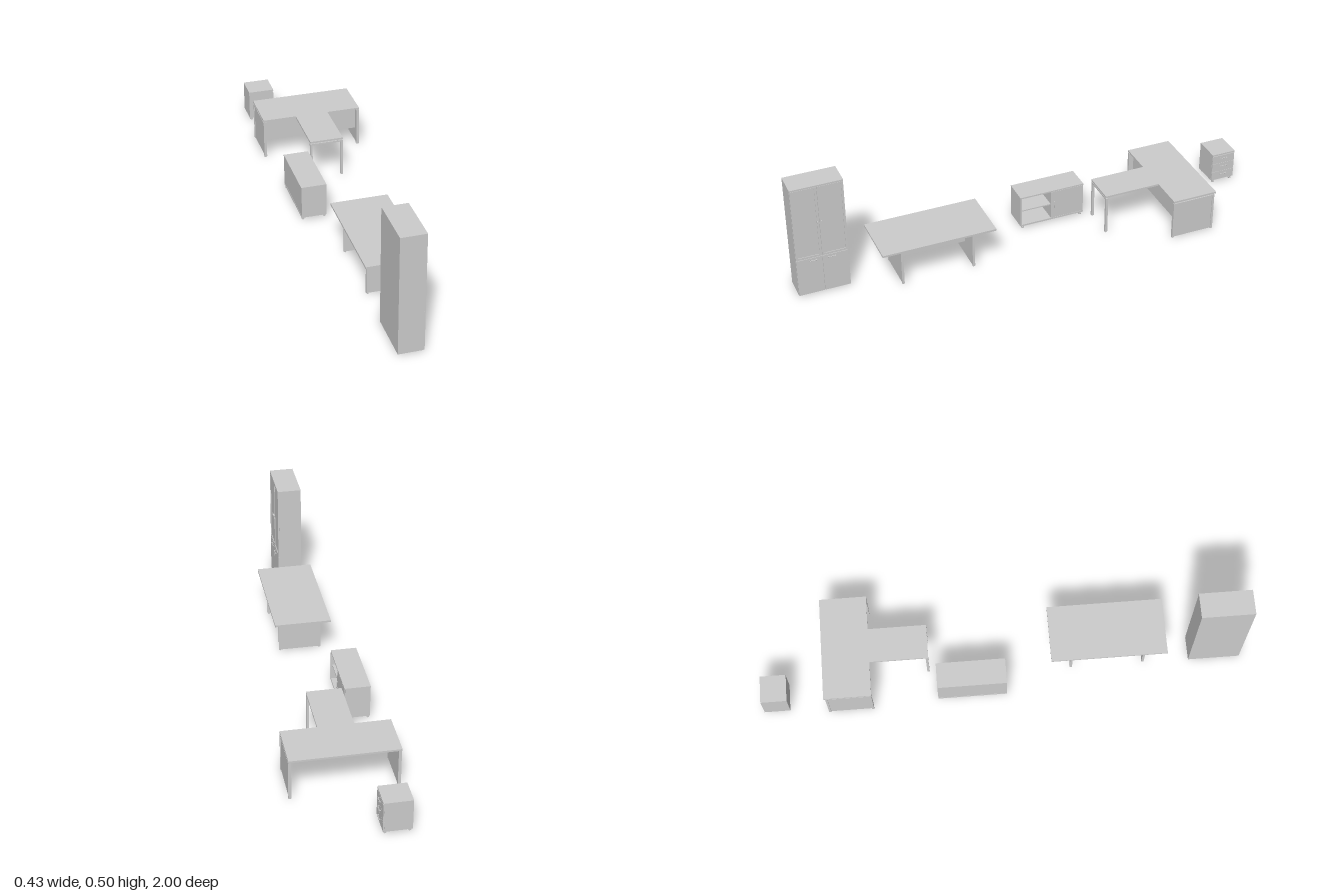
import * as THREE from 'three';

const mat = new THREE.MeshStandardMaterial({ color: 0xcccccc });

// Box given by its limits on each axis
function box(parent, name, x0, x1, y0, y1, z0, z1) {
  const m = new THREE.Mesh(new THREE.BoxGeometry(x1 - x0, y1 - y0, z1 - z0), mat);
  m.position.set((x0 + x1) / 2, (y0 + y1) / 2, (z0 + z1) / 2);
  m.name = name;
  parent.add(m);
  return m;
}

function cylinder(parent, name, r, h, x, y, z, axis = 'y') {
  const m = new THREE.Mesh(new THREE.CylinderGeometry(r, r, h, 16), mat);
  if (axis === 'x') m.rotation.z = Math.PI / 2;
  if (axis === 'z') m.rotation.x = Math.PI / 2;
  m.position.set(x, y, z);
  m.name = name;
  parent.add(m);
}

function group(root, name) {
  const g = new THREE.Group();
  g.name = name;
  root.add(g);
  return g;
}

// Bar handle standing off a face that looks toward +x
function handle(parent, x, y, z, length, vertical = false) {
  const g = group(parent, 'handle');
  const h = length / 2;
  for (const s of [-1, 1]) {
    cylinder(g, 'handlePost', 0.0015, 0.005, x + 0.0025, y + (vertical ? s * h : 0), z + (vertical ? 0 : s * h), 'x');
  }
  cylinder(g, 'handleBar', 0.0015, length + 0.003, x + 0.005, y, z, vertical ? 'y' : 'z');
}

function casters(parent, xs, zs) {
  for (const x of xs) for (const z of zs) {
    const g = group(parent, 'caster');
    for (const s of [-1, 1]) cylinder(g, 'wheel', 0.006, 0.003, x, 0.006, z + s * 0.003, 'z');
    cylinder(g, 'casterStem', 0.002, 0.01, x, 0.01, z);
  }
}

function feet(parent, xs, zs) {
  for (const x of xs) for (const z of zs) cylinder(parent, 'foot', 0.004, 0.005, x, 0.0025, z);
}

function buildWardrobe(root) {
  const g = group(root, 'wardrobe');
  const x0 = -0.103, xf = -0.005, z0 = 0.785, z1 = 1, mid = 0.8925;
  box(g, 'carcass', x0, xf, 0.004, 0.496, z0, z1);
  box(g, 'topPanel', x0, 0, 0.496, 0.503, z0, z1);
  feet(g, [x0 + 0.01, -0.012], [z0 + 0.012, z1 - 0.012]);
  for (const s of [-1, 1]) {
    const a = s < 0 ? z0 + 0.001 : mid + 0.0008;
    const b = s < 0 ? mid - 0.0008 : z1 - 0.001;
    box(g, 'lowerDoor', xf, 0, 0.005, 0.172, a, b);
    // Framed upper door with a recessed pane
    const f = 0.009, y0 = 0.174, y1 = 0.495;
    box(g, 'doorStile', xf, 0, y0, y1, a, a + f);
    box(g, 'doorStile', xf, 0, y0, y1, b - f, b);
    box(g, 'doorRail', xf, 0, y0, y0 + f, a + f, b - f);
    box(g, 'doorRail', xf, 0, y1 - f, y1, a + f, b - f);
    box(g, 'doorPane', xf, -0.003, y0 + f, y1 - f, a + f, b - f);
    handle(g, 0, 0.163, mid + s * 0.038, 0.028);
    handle(g, 0, 0.335, mid + s * 0.008, 0.006, true);
  }
}

function buildTable(root) {
  const g = group(root, 'meetingTable');
  const cx = -0.008;
  box(g, 'tableTop', -0.127, 0.111, 0.174, 0.182, 0.2, 0.68);
  // Framed panel legs
  for (const [a, b] of [[0.284, 0.294], [0.587, 0.597]]) {
    for (const s of [-1, 1]) {
      box(g, 'legPost', cx + s * 0.086 - 0.004, cx + s * 0.086 + 0.004, 0.004, 0.17, a, b);
      cylinder(g, 'foot', 0.003, 0.005, cx + s * 0.084, 0.0025, (a + b) / 2);
      cylinder(g, 'spacer', 0.003, 0.006, cx + s * 0.07, 0.172, (a + b) / 2);
    }
    box(g, 'legRail', cx - 0.082, cx + 0.082, 0.163, 0.17, a, b);
    box(g, 'legPanel', cx - 0.082, cx + 0.082, 0.004, 0.163, a + 0.002, b - 0.002);
  }
  box(g, 'modestyPanel', cx - 0.004, cx + 0.004, 0.073, 0.174, 0.294, 0.587);
}

function buildCredenza(root) {
  const g = group(root, 'credenza');
  const x0 = -0.197, x1 = -0.09, z0 = -0.275, z1 = 0.012, split = -0.13, t = 0.006;
  box(g, 'topPanel', x0, x1, 0.15, 0.156, z0, z1);
  box(g, 'bottomPanel', x0, x1, 0.013, 0.02, z0, z1);
  box(g, 'backPanel', x0 + 0.001, x0 + 0.005, 0.02, 0.15, z0, z1);
  for (const z of [z0, split - t / 2, z1 - t]) box(g, 'uprightPanel', x0 + 0.005, x1 - 0.005, 0.02, 0.15, z, z + t);
  box(g, 'sideEdge', x1 - 0.005, x1, 0.02, 0.15, z1 - t, z1);
  box(g, 'shelf', x0 + 0.005, x1 - 0.006, 0.083, 0.088, split, z1 - t);
  box(g, 'door', x1 - 0.005, x1, 0.021, 0.149, z0 + 0.001, split + 0.003);
  handle(g, x1, 0.086, -0.141, 0.028, true);
  casters(g, [x0 + 0.008, x1 - 0.008], [z0 + 0.012, z1 - 0.012]);
}

function buildDesk(root) {
  const g = group(root, 'desk');
  const zb = -0.74, zf = -0.545;
  box(g, 'deskTop', -0.217, 0.217, 0.174, 0.182, zb, zf);
  box(g, 'returnTop', -0.072, 0.072, 0.174, 0.182, zf, -0.303);
  for (const s of [-1, 1]) {
    // Framed side leg
    const leg = group(g, 'sideLeg');
    const xa = s * 0.211, h = 0.006;
    for (const z of [zb + 0.007, zf - 0.009]) {
      box(leg, 'legPost', xa - h, xa + h, 0.003, 0.17, z, z + 0.009);
      box(leg, 'legFoot', xa - h + 0.001, xa + h - 0.001, 0, 0.003, z + 0.001, z + 0.008);
      cylinder(leg, 'spacer', 0.004, 0.006, xa, 0.172, z + 0.005);
    }
    box(leg, 'legRail', xa - h, xa + h, 0.163, 0.17, zb + 0.016, zf - 0.009);
    box(leg, 'legPanel', xa - 0.003, xa + 0.003, 0.004, 0.163, zb + 0.016, zf - 0.009);
    // Post under the free end of the return
    const xp = s * 0.067;
    box(g, 'returnPost', xp - 0.005, xp + 0.005, 0.003, 0.17, -0.314, -0.304);
    cylinder(g, 'returnFoot', 0.004, 0.003, xp, 0.0015, -0.309);
    box(g, 'returnSideRail', s * 0.055 - 0.003, s * 0.055 + 0.003, 0.169, 0.174, zf, -0.314);
  }
  box(g, 'returnRail', -0.062, 0.062, 0.163, 0.17, -0.314, -0.304);
  for (const x of [-0.05, 0.05]) cylinder(g, 'returnSpacer', 0.003, 0.005, x, 0.172, -0.309);
  box(g, 'modestyPanel', -0.205, 0.205, 0.073, 0.172, -0.572, -0.566);
  box(g, 'crossBeam', -0.205, 0.205, 0.166, 0.174, -0.65, -0.642);
}

function buildPedestal(root) {
  const g = group(root, 'drawerPedestal');
  const x0 = -0.2, x1 = -0.087, z0 = -1, z1 = -0.893, zc = (z0 + z1) / 2;
  box(g, 'topPanel', x0, x1, 0.137, 0.144, z0, z1);
  box(g, 'carcass', x0, x1 - 0.005, 0.013, 0.137, z0, z1);
  const splits = [0.014, 0.055, 0.096, 0.135];
  const heights = [0.042, 0.082, 0.122];
  heights.forEach((y, i) => {
    box(g, 'drawerFront', x1 - 0.005, x1, splits[i] + 0.0006, splits[i + 1] - 0.0006, z0 + 0.001, z1 - 0.001);
    handle(g, x1, y, zc, 0.028);
  });
  casters(g, [x0 + 0.01, x1 - 0.01], [z0 + 0.012, z1 - 0.012]);
}

export function createModel() {
  const root = new THREE.Group();
  root.name = 'officeFurniture';
  buildWardrobe(root);
  buildTable(root);
  buildCredenza(root);
  buildDesk(root);
  buildPedestal(root);
  return root;
}
